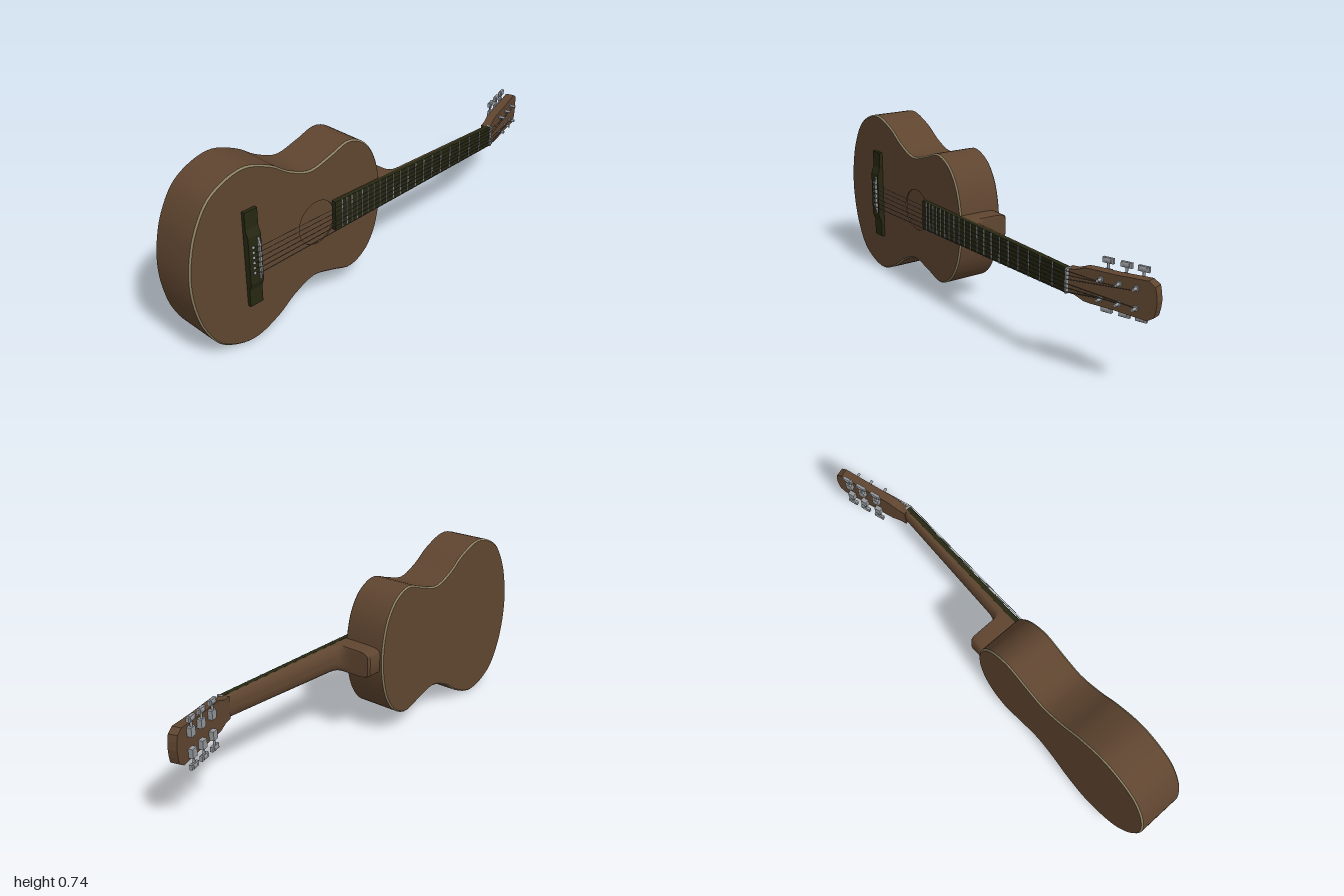
import * as THREE from 'three';
import { toCreasedNormals } from 'three/addons/utils/BufferGeometryUtils.js';

const mat = (name, color, side = THREE.FrontSide) => {
  const m = new THREE.MeshStandardMaterial({ color, side });
  m.name = name;
  return m;
};
const V = (x, y, z) => new THREE.Vector3(x, y, z);

// Skin over closed rings of points, each counter-clockwise about the direction of travel
function loft(rings, crease = 0.6) {
  const n = rings[0].length, index = [];
  for (let i = 0; i < rings.length - 1; i++) {
    for (let j = 0; j < n; j++) {
      const a = i * n + j, b = i * n + (j + 1) % n;
      index.push(a, b, b + n, a, b + n, a + n);
    }
  }
  const g = new THREE.BufferGeometry().setFromPoints(rings.flat());
  g.setIndex(index);
  return toCreasedNormals(g, crease);
}

// Outline symmetric about the x axis, from [x, halfWidth] pairs
const mirrored = (half) => [
  ...half.map(([x, h]) => new THREE.Vector2(x, -h)),
  ...half.filter(([, h]) => h > 0).reverse().map(([x, h]) => new THREE.Vector2(x, h)),
];
const extrude = (shape, depth) => new THREE.ExtrudeGeometry(shape, { depth, bevelEnabled: false, curveSegments: 12 });

export function createModel() {
  const wood = mat('brown wood', 0x5f4530, THREE.DoubleSide);
  const ebony = mat('dark fretboard wood', 0x262812);
  const binding = mat('pale binding', 0x8c8262, THREE.DoubleSide);
  const metal = mat('grey metal', 0x95989c);
  const wire = mat('string grey', 0x56524c);

  const root = new THREE.Group();
  root.name = 'guitar';
  const guitar = new THREE.Group();
  guitar.name = 'instrument';
  guitar.position.y = 0.372;
  root.add(guitar);

  const add = (name, geometry, material, parent = guitar) => {
    const m = new THREE.Mesh(geometry, material);
    m.name = name;
    parent.add(m);
    return m;
  };
  const box = (name, w, h, d, x, y, z, material, parent) => {
    const m = add(name, new THREE.BoxGeometry(w, h, d), material, parent);
    m.position.set(x, y, z);
    return m;
  };
  const rod = (name, a, b, r, material, parent, sides = 6) => {
    const dir = b.clone().sub(a);
    const m = add(name, new THREE.CylinderGeometry(r, r, dir.length(), sides), material, parent);
    m.position.copy(a).add(b).multiplyScalar(0.5);
    m.quaternion.setFromUnitVectors(V(0, 1, 0), dir.normalize());
    return m;
  };

  // Body outline and its inset copy
  const half = [[-1, 0], [-0.99, 0.1], [-0.957, 0.21], [-0.885, 0.315], [-0.74, 0.37], [-0.61, 0.329],
    [-0.527, 0.275], [-0.425, 0.237], [-0.325, 0.259], [-0.22, 0.288], [-0.14, 0.253], [-0.087, 0.183],
    [-0.058, 0.09], [-0.05, 0]];
  const curve = new THREE.CatmullRomCurve3(mirrored(half).map((p) => V(p.x, p.y, 0)), true);
  const outline = curve.getSpacedPoints(120).slice(0, -1);
  const inset = outline.map((p, i) => {
    const t = outline[(i + 1) % 120].clone().sub(outline[(i + 119) % 120]).normalize();
    return V(p.x - t.y * 0.006, p.y + t.x * 0.006, 0);
  });
  const at = (ring, z) => ring.map((p) => V(p.x, p.y, z));
  add('bodySides', loft([at(outline, -0.114), at(outline, 0.074)]), wood);
  add('frontBinding', loft([at(outline, 0.074), at(inset, 0.08)]), binding);
  add('backBinding', loft([at(inset, -0.12), at(outline, -0.114)]), binding);

  // Soundboard with its hole, and back plate
  const plate = () => new THREE.Shape(inset.map((p) => new THREE.Vector2(p.x, p.y)));
  const top = plate();
  top.holes.push(new THREE.Path().absarc(-0.4, 0, 0.092, 0, Math.PI * 2, true));
  add('soundboard', new THREE.ShapeGeometry(top, 24).translate(0, 0, 0.08), wood);
  const back = new THREE.ShapeGeometry(plate()).rotateX(Math.PI).translate(0, 0, -0.12);
  add('backPlate', back, wood);
  const rim = new THREE.CylinderGeometry(0.092, 0.092, 0.006, 48, 1, true).rotateX(Math.PI / 2);
  add('soundholeRim', rim, wood).position.set(-0.4, 0, 0.077);

  // Neck and heel: D-shaped sections [x, half width, depth, squareness]
  const sections = [[-0.06, 0.058, 0.185, 7], [0.012, 0.058, 0.185, 7], [0.02, 0.057, 0.178, 7],
    [0.021, 0.057, 0.09, 5], [0.024, 0.057, 0.068, 4], [0.032, 0.057, 0.05, 3], [0.045, 0.057, 0.04, 2.5],
    [0.07, 0.057, 0.035, 2.2], [0.6, 0.048, 0.019, 2.2], [0.65, 0.047, 0.018, 2.2]];
  const neck = loft(sections.map(([x, w, d, e]) => Array.from({ length: 25 }, (_, i) => {
    const a = Math.PI * (1 + i / 24), c = Math.cos(a), s = Math.abs(Math.sin(a));
    return V(x, Math.sign(c) * w * Math.abs(c) ** (2 / e), 0.08 - d * s ** (2 / e));
  })), 0.7);
  add('neckAndHeel', neck, wood);
  const cap = new THREE.Shape();
  cap.absellipse(0, 0, 0.047, 0.018, Math.PI, Math.PI * 2, false);

  // Fretboard, frets and nut
  const boardHalf = (x) => 0.064 - 0.0165 * (x + 0.32) / 0.97;
  const board = new THREE.Shape(mirrored([[-0.32, boardHalf(-0.32)], [0.65, boardHalf(0.65)]]));
  add('fretboard', extrude(board, 0.02), ebony).position.z = 0.08;
  for (let n = 1; n <= 20; n++) {
    const x = 0.65 - 1.365 * (1 - 2 ** (-n / 12));
    box('fret', 0.004, boardHalf(x) * 2, 0.004, x, 0, 0.101, metal);
  }
  box('nut', 0.01, 0.095, 0.026, 0.653, 0, 0.093, metal);

  // Bridge and saddle: profiles across the body, extruded along its length
  const across = new THREE.Matrix4().makeBasis(V(0, 1, 0), V(0, 0, 1), V(1, 0, 0));
  const profile = (pts, depth) => extrude(new THREE.Shape([
    ...pts.map(([y, z]) => new THREE.Vector2(y, z)),
    ...pts.slice().reverse().map(([y, z]) => new THREE.Vector2(-y, z)),
  ]), depth).applyMatrix4(across);
  add('bridge', profile([[0.202, 0.079], [0.202, 0.095], [0.13, 0.095], [0.1, 0.107]], 0.06), ebony).position.x = -0.758;
  add('saddle', profile([[0.092, 0.1], [0.088, 0.108], [0.06, 0.118]], 0.008), metal).position.x = -0.716;

  // Tilted headstock
  const head = new THREE.Group();
  head.name = 'headstock';
  head.position.set(0.65, 0, 0.096);
  head.rotation.y = 0.297;
  head.updateMatrix();
  guitar.add(head);
  const headShape = new THREE.Shape(mirrored([[0, 0.046], [0.03, 0.047], [0.052, 0.055], [0.072, 0.063],
    [0.1, 0.065], [0.2, 0.066], [0.325, 0.073], [0.351, 0.056], [0.357, 0.03], [0.36, 0]]));
  add('headPlate', extrude(headShape, 0.038), wood, head).position.z = -0.038;

  // Tuning machines: post, washer, gear box, shaft and knob
  const posts = [0.14, 0.213, 0.28];
  for (const side of [-1, 1]) {
    for (const x of posts) {
      const y = side * 0.037;
      rod('tunerWasher', V(x, y, -0.002), V(x, y, 0.004), 0.011, metal, head, 12);
      rod('tunerPost', V(x, y, 0), V(x, y, 0.026), 0.006, metal, head, 12);
      box('gearBox', 0.028, 0.036, 0.02, x, side * 0.042, -0.047, metal, head);
      rod('tunerShaft', V(x, side * 0.05, -0.049), V(x, side * 0.085, -0.049), 0.005, metal, head, 10);
      const knob = add('tunerKnob', new THREE.CylinderGeometry(0.012, 0.012, 0.024, 12).scale(1, 1, 0.75), metal, head);
      knob.position.set(x, side * 0.093, -0.049);
      knob.rotation.z = Math.PI / 2;
      box('knobWing', 0.044, 0.02, 0.012, x, side * 0.093, -0.049, metal, head);
    }
  }

  // Strings and bridge pins
  for (let i = 0; i < 6; i++) {
    const s = (i - 2.5) / 2.5, side = Math.sign(s);
    const post = posts[i < 3 ? i : 5 - i];
    const path = [V(-0.737, s * 0.055, 0.107), V(-0.712, s * 0.055, 0.119), V(0.653, s * 0.04, 0.107),
      V(post, side * 0.031, 0.013).applyMatrix4(head.matrix)];
    const r = 0.0018 - i * 0.00015;
    for (let k = 0; k < 3; k++) rod('string', path[k], path[k + 1], r, wire);
    const pin = add('bridgePin', new THREE.SphereGeometry(0.006, 10, 8), metal);
    pin.position.copy(path[0]);
  }
  return root;
}
